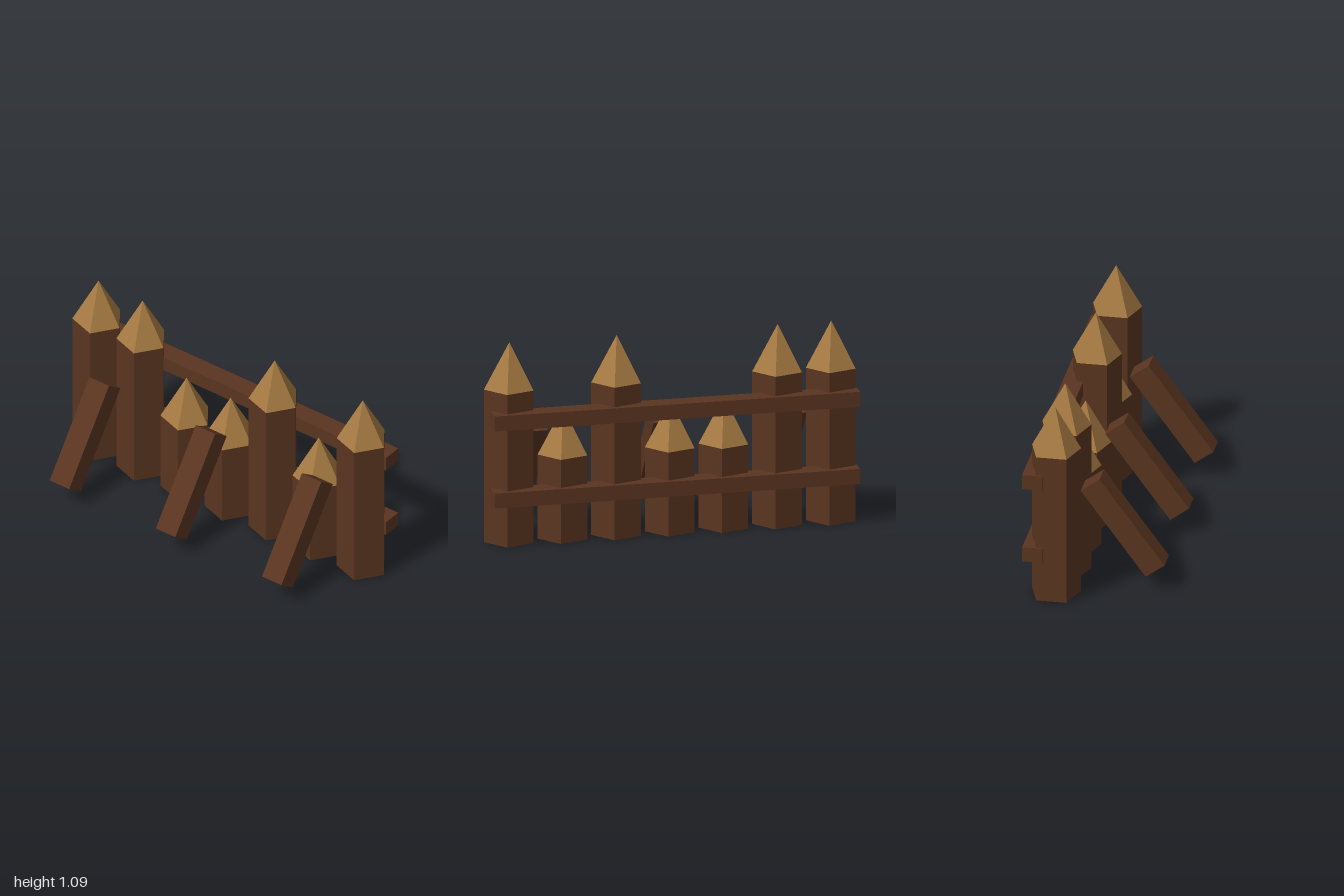
import * as THREE from 'three';

const bark = new THREE.MeshStandardMaterial({ color: 0x5a3520, flatShading: true });
const cutWood = new THREE.MeshStandardMaterial({ color: 0xa67a42, flatShading: true });

const POST_RADIUS = 0.138;
const POST_SIDES = 5;
const POST_Z = -0.206;
const TIP_HEIGHT = 0.25;
const TALL = 0.835;
const SHORT = 0.46;

function addMesh(parent, name, geometry, material, x, y, z) {
  const mesh = new THREE.Mesh(geometry, material);
  mesh.name = name;
  mesh.position.set(x, y, z);
  parent.add(mesh);
  return mesh;
}

// Five-sided stake with a sharpened tip, one corner pointing to +x
function createStake(height) {
  const stake = new THREE.Group();
  stake.name = 'stake';
  const body = new THREE.CylinderGeometry(POST_RADIUS, POST_RADIUS, height, POST_SIDES, 1, false, Math.PI / 2);
  const tip = new THREE.ConeGeometry(POST_RADIUS, TIP_HEIGHT, POST_SIDES, 1, false, Math.PI / 2);
  addMesh(stake, 'stakeBody', body, bark, 0, height / 2, 0);
  addMesh(stake, 'stakeTip', tip, cutWood, 0, height + TIP_HEIGHT / 2, 0);
  return stake;
}

export function createModel() {
  const model = new THREE.Group();
  model.name = 'palisade';

  // Row of tall and short stakes
  [TALL, TALL, SHORT, SHORT, TALL, SHORT, TALL].forEach((height, i) => {
    const stake = createStake(height);
    stake.position.set(-0.01 + (i - 3) * 0.2905, 0, POST_Z);
    model.add(stake);
  });

  // Horizontal rails across the back
  const rail = new THREE.BoxGeometry(1.978, 0.082, 0.108);
  addMesh(model, 'lowerRail', rail, bark, -0.011, 0.266, -0.307);
  addMesh(model, 'upperRail', rail, bark, -0.011, 0.688, -0.307);

  // Slanted braces leaning on the front
  const brace = new THREE.BoxGeometry(0.128, 0.585, 0.125);
  for (const i of [-1, 0, 1]) {
    const mesh = addMesh(model, 'brace', brace, bark, -0.012 + i * 0.7, 0.356, 0.135);
    mesh.rotation.x = -THREE.MathUtils.degToRad(36.4);
  }

  return model;
}
